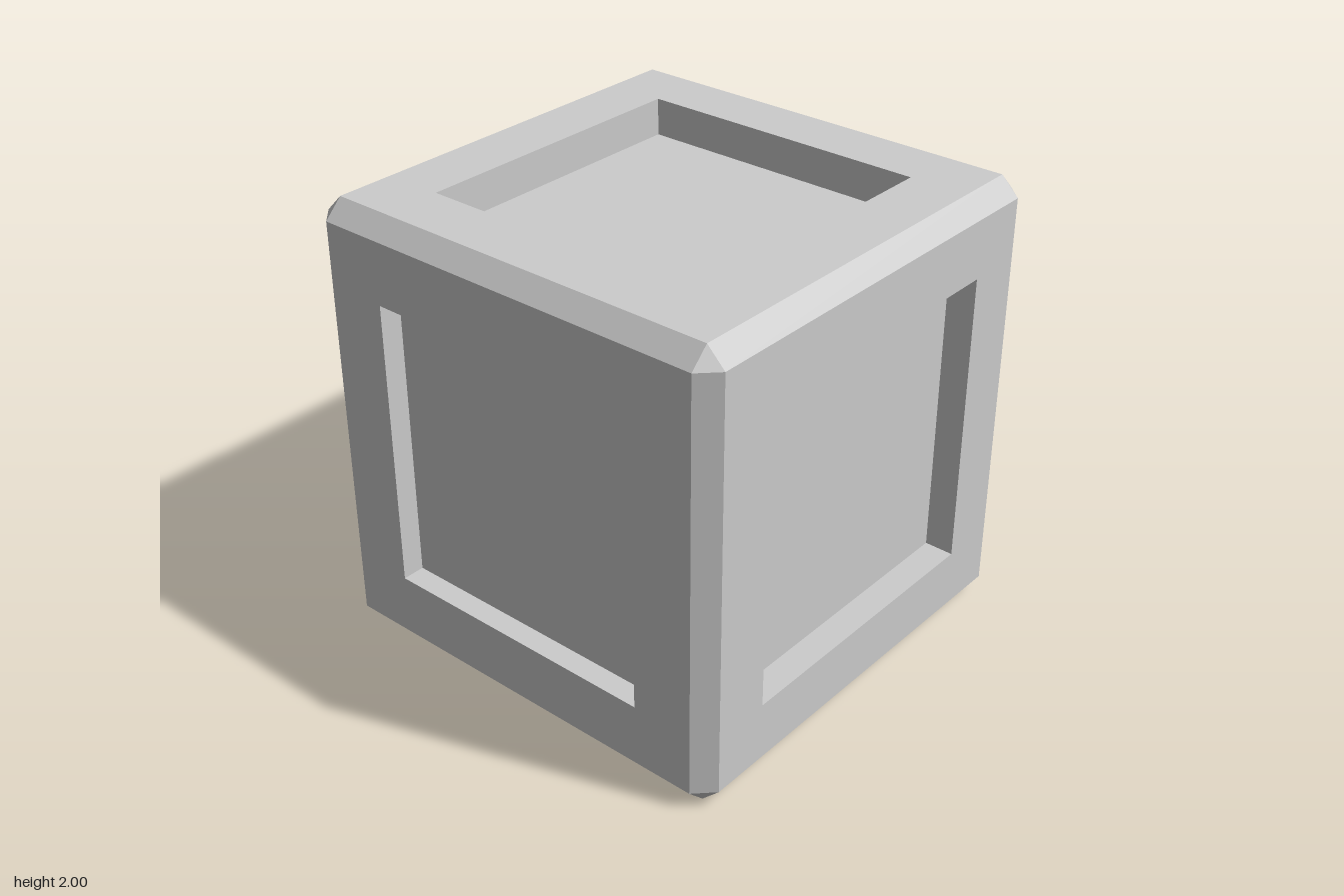
import * as THREE from 'three';
import { mergeGeometries } from 'three/addons/utils/BufferGeometryUtils.js';

const FLAT = 0.92; // half-width of each flat face; the rest is chamfer
const CORNERS = [[-1, -1], [1, -1], [1, 1], [-1, 1]];

// Square loop of half-width s at height z, counter-clockwise
const square = (s, z) => CORNERS.map(([x, y]) => new THREE.Vector3(x * s, y * s, z));

function fromTriangles(points) {
  const g = new THREE.BufferGeometry().setFromPoints(points);
  g.computeVertexNormals();
  return g;
}

// Band of four quads joining an outer loop to an inner loop
function band(a, b) {
  const pts = [];
  for (let k = 0; k < 4; k++) {
    const n = (k + 1) % 4;
    pts.push(a[k], a[n], b[n], a[k], b[n], b[k]);
  }
  return fromTriangles(pts);
}

// Chamfered edges: four strips around each axis
function edgeStrips() {
  const strips = [];
  for (let axis = 0; axis < 3; axis++) {
    for (let k = 0; k < 4; k++) {
      const g = new THREE.PlaneGeometry(2 * FLAT, (1 - FLAT) * Math.SQRT2);
      g.rotateX(-Math.PI / 4).translate(0, (1 + FLAT) / 2, (1 + FLAT) / 2).rotateX(k * Math.PI / 2);
      if (axis === 1) g.rotateZ(Math.PI / 2);
      if (axis === 2) g.rotateY(Math.PI / 2);
      strips.push(g);
    }
  }
  return mergeGeometries(strips);
}

// Cut corners: one small triangle each
function cornerCaps() {
  const pts = [];
  for (const x of [-1, 1]) for (const y of [-1, 1]) for (const z of [-1, 1]) {
    const a = new THREE.Vector3(x, y * FLAT, z * FLAT);
    const b = new THREE.Vector3(x * FLAT, y, z * FLAT);
    const c = new THREE.Vector3(x * FLAT, y * FLAT, z);
    pts.push(...(x * y * z > 0 ? [a, b, c] : [a, c, b]));
  }
  return fromTriangles(pts);
}

export function createModel() {
  const grey = new THREE.MeshStandardMaterial({ color: 0xcccccc });
  grey.name = 'grey';

  const cube = new THREE.Group();
  cube.name = 'cube';
  cube.position.y = 1;
  const add = (parent, name, geometry) => {
    const mesh = new THREE.Mesh(geometry, grey);
    mesh.name = name;
    parent.add(mesh);
    return mesh;
  };

  // Six sides, each a frame around a sunken panel: name, turn x, turn y, half-width, depth
  const q = Math.PI / 2;
  const sides = [
    ['front', 0, 0, 0.645, 0.1],
    ['back', 0, 2 * q, 0.635, 0.1],
    ['left', 0, q, 0.66, 0.13],
    ['right', 0, -q, 0.65, 0.1],
    ['top', -q, 0, 0.66, 0.165],
    ['bottom', q, 0, 0.655, 0.09],
  ];
  for (const [name, rx, ry, half, depth] of sides) {
    const side = new THREE.Group();
    side.name = name + 'Side';
    side.rotation.set(rx, ry, 0);
    const rim = square(half, 1);
    add(side, name + 'Frame', band(square(FLAT, 1), rim));
    add(side, name + 'RecessWalls', band(rim, square(half, 1 - depth)));
    add(side, name + 'Panel', new THREE.PlaneGeometry(2 * half, 2 * half)).position.z = 1 - depth;
    cube.add(side);
  }

  add(cube, 'chamferedEdges', edgeStrips());
  add(cube, 'cutCorners', cornerCaps());

  const model = new THREE.Group();
  model.name = 'panelledCube';
  model.add(cube);
  return model;
}
